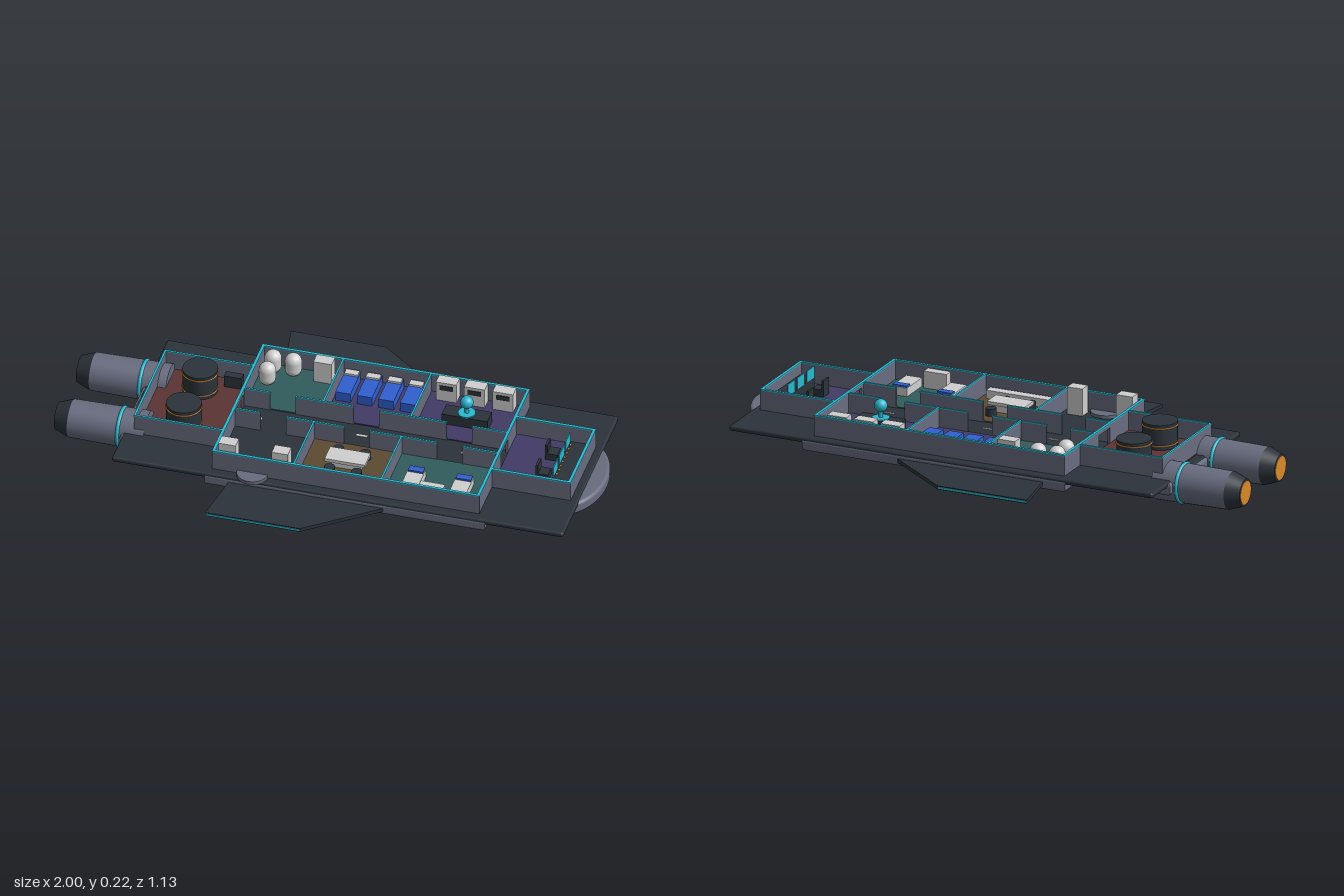
import * as THREE from 'three';
import { RoundedBoxGeometry } from 'three/addons/geometries/RoundedBoxGeometry.js';

const mat = (name, color) => {
  const m = new THREE.MeshStandardMaterial({ color });
  m.name = name;
  return m;
};

export function createModel() {
  const root = new THREE.Group();
  const dark = mat('darkPlating', 0x2b333a), grey = mat('hullGrey', 0x686d80);
  const cyan = mat('cyanTrim', 0x2bb8d0), white = mat('white', 0xd0d0d0);
  const blue = mat('blue', 0x2f5fd0), orange = mat('orange', 0xd98a2b);
  const teal = mat('tealFloor', 0x315c5c), purple = mat('purpleFloor', 0x423a66);
  const brown = mat('brownFloor', 0x5c4a33), maroon = mat('maroonFloor', 0x5c3434);

  const group = (name) => {
    const g = new THREE.Group();
    g.name = name;
    root.add(g);
    return g;
  };
  const add = (parent, name, geo, m, x = 0, y = 0, z = 0) => {
    const mesh = new THREE.Mesh(geo, m);
    mesh.name = name;
    mesh.position.set(x, y, z);
    parent.add(mesh);
    return mesh;
  };
  // box given by its centre in plan and its bottom and top heights
  const box = (parent, name, m, x, z, w, d, y0, y1) =>
    add(parent, name, new THREE.BoxGeometry(w, y1 - y0, d), m, x, (y0 + y1) / 2, z);
  const drum = (parent, name, m, x, z, r, y0, y1, seg = 24) =>
    add(parent, name, new THREE.CylinderGeometry(r, r, y1 - y0, seg), m, x, (y0 + y1) / 2, z);
  const DECK = 0.104, FLOOR = 0.108, TOP = 0.178;

  // lower hull with stepped plan and rounded nose
  const hull = group('hull');
  const b = 0.012;
  const plan = new THREE.Shape();
  plan.moveTo(-0.745 + b, -0.24 + b);
  plan.lineTo(-0.39 + b, -0.24 + b);
  plan.lineTo(-0.39 + b, -0.367 + b);
  plan.lineTo(0.65 - b, -0.367 + b);
  plan.lineTo(0.65 - b, -0.21 + b);
  plan.lineTo(0.855, -0.21 + b);
  plan.absellipse(0.855, 0, 0.145 - b, 0.21 - b, -Math.PI / 2, Math.PI / 2, false);
  plan.lineTo(0.65 - b, 0.21 - b);
  plan.lineTo(0.65 - b, 0.367 - b);
  plan.lineTo(-0.39 + b, 0.367 - b);
  plan.lineTo(-0.39 + b, 0.24 - b);
  plan.lineTo(-0.745 + b, 0.24 - b);
  const hullGeo = new THREE.ExtrudeGeometry(plan, {
    depth: 0.022, bevelThickness: b, bevelSize: b, bevelSegments: 4, curveSegments: 32,
  });
  hullGeo.rotateX(Math.PI / 2);
  add(hull, 'lowerHull', hullGeo, grey, 0, 0.088, 0);
  add(hull, 'deckPlate', new RoundedBoxGeometry(1.675, 0.02, 0.732, 3, 0.008), dark, 0.1025, 0.094, 0);

  // wings with a bright strip on each tip
  for (const s of [-1, 1]) {
    const wing = group(s > 0 ? 'leftWing' : 'rightWing');
    const shape = new THREE.Shape([[-0.295, 0.33], [0.32, 0.33], [0.02, 0.563], [-0.332, 0.563]]
      .map(([x, z]) => new THREE.Vector2(x, s * z)));
    const geo = new THREE.ExtrudeGeometry(shape, { depth: 0.014, bevelEnabled: false });
    geo.rotateX(Math.PI / 2);
    add(wing, 'wingPanel', geo, dark, 0, 0.082, 0);
    box(wing, 'wingTipStrip', cyan, -0.156, s * 0.563, 0.35, 0.004, 0.0715, 0.0785);
  }

  // engines, lying along x with the nozzles at the rear
  for (const s of [-1, 1]) {
    const engine = group(s > 0 ? 'leftEngine' : 'rightEngine');
    engine.position.set(0, 0.078, s * 0.145);
    const lie = (name, rFront, rBack, x0, x1, m) => {
      const geo = new THREE.CylinderGeometry(rFront, rBack, x1 - x0, 32);
      geo.rotateZ(-Math.PI / 2);
      add(engine, name, geo, m, (x0 + x1) / 2);
    };
    lie('engineBody', 0.074, 0.07, -0.945, -0.66, grey);
    lie('nozzle', 0.07, 0.05, -0.998, -0.945, dark);
    lie('exhaustGlow', 0.043, 0.043, -1.0, -0.994, orange);
    const ring = new THREE.TorusGeometry(0.071, 0.007, 10, 36);
    ring.rotateY(Math.PI / 2);
    add(engine, 'engineRing', ring, cyan, -0.758);
  }

  // room floors: x0, x1, z0, z1
  const floors = group('floors');
  [['engineRoomFloor', maroon, -0.7, -0.37, -0.2, 0.2],
    ['storeFloor', teal, -0.37, -0.07, -0.33, -0.063],
    ['bunkFloor', purple, -0.07, 0.255, -0.33, -0.063],
    ['briefingFloor', purple, 0.255, 0.62, -0.33, -0.063],
    ['loungeFloor', brown, -0.07, 0.255, 0.063, 0.33],
    ['clinicFloor', teal, 0.255, 0.62, 0.063, 0.33],
    ['cockpitFloor', purple, 0.62, 0.91, -0.165, 0.165],
  ].forEach(([n, m, x0, x1, z0, z1]) =>
    box(floors, n, m, (x0 + x1) / 2, (z0 + z1) / 2, x1 - x0, z1 - z0, DECK - 0.002, FLOOR));
  for (let i = 0; i < 7; i++) box(floors, 'corridorDash', white, -0.3 + i * 0.13, 0, 0.04, 0.01, DECK - 0.002, DECK + 0.002);

  // walls capped with a bright trim
  const walls = group('walls');
  const wall = (x0, z0, x1, z1, t = 0.01, bottom = DECK - 0.002) => {
    const w = x1 - x0 + t, d = z1 - z0 + t, x = (x0 + x1) / 2, z = (z0 + z1) / 2;
    box(walls, 'wall', grey, x, z, w, d, bottom, TOP);
    box(walls, 'wallTrim', cyan, x, z, w + 0.001, d + 0.001, TOP, TOP + 0.005);
  };
  for (const s of [-1, 1]) {
    const span = (x0, x1, za, zb, t) => wall(x0, Math.min(s * za, s * zb), x1, Math.max(s * za, s * zb), t);
    span(-0.695, -0.37, 0.2, 0.2, 0.007);
    span(-0.367, 0.615, 0.327, 0.327);
    span(0.62, 0.907, 0.162, 0.162);
    span(-0.367, -0.367, 0.05, 0.327);
    span(0.615, 0.615, 0.05, 0.327);
    span(-0.07, -0.07, 0.063, 0.327, 0.006);
    span(0.255, 0.255, 0.063, 0.327, 0.006);
    // corridor walls with a door into each room
    [[-0.367, -0.27], [-0.17, 0.04], [0.14, 0.385], [0.485, 0.615]]
      .forEach(([x0, x1]) => span(x0, x1, 0.063, 0.063, 0.006));
  }
  wall(-0.695, -0.2, -0.695, 0.2, 0.007);
  wall(0.907, -0.162, 0.907, 0.162);
  for (const x of [-0.367, 0.615]) wall(x, -0.05, x, 0.05, 0.01, 0.165);

  // engine room
  const power = group('engineRoom');
  for (const s of [-1, 1]) {
    drum(power, 'reactor', dark, -0.54, s * 0.107, 0.064, DECK, 0.202, 32);
    for (const y of [0.122, 0.188]) {
      const band = new THREE.TorusGeometry(0.064, 0.003, 8, 36);
      band.rotateX(Math.PI / 2);
      add(power, 'reactorBand', band, orange, -0.54, y, s * 0.107);
    }
  }
  box(power, 'controlDesk', dark, -0.43, -0.16, 0.065, 0.03, DECK, 0.155);

  // store room and cargo bay
  const store = group('storeRoom');
  for (const [x, z] of [[-0.32, -0.285], [-0.245, -0.285], [-0.32, -0.21]]) {
    add(store, 'tank', new THREE.CapsuleGeometry(0.031, 0.03, 8, 20), white, x, 0.15, z);
  }
  box(store, 'cabinet', white, -0.13, -0.285, 0.068, 0.046, DECK, 0.195);
  const bay = group('cargoBay');
  box(bay, 'locker', white, -0.322, 0.29, 0.064, 0.046, DECK, 0.207);
  box(bay, 'locker', white, -0.126, 0.29, 0.06, 0.046, DECK, 0.207);
  drum(bay, 'dockingPad', grey, -0.222, 0.33, 0.057, DECK - 0.002, 0.116, 32);

  // bunk room
  const bunks = group('bunkRoom');
  for (let i = 0; i < 4; i++) {
    const x = -0.03 + i * 0.08;
    box(bunks, 'bunk', blue, x, -0.243, 0.056, 0.135, DECK, 0.145);
    box(bunks, 'pillow', white, x, -0.295, 0.05, 0.028, 0.14, 0.153);
  }

  // briefing room with a projector table
  const brief = group('briefingRoom');
  for (const x of [0.325, 0.43, 0.535]) {
    box(brief, 'console', white, x, -0.298, 0.076, 0.044, DECK, 0.187);
    box(brief, 'consoleScreen', dark, x, -0.2755, 0.05, 0.003, 0.155, 0.175);
  }
  box(brief, 'projectorTable', dark, 0.43, -0.175, 0.17, 0.06, DECK, 0.15);
  drum(brief, 'projectorBase', cyan, 0.43, -0.175, 0.032, 0.15, 0.154);
  drum(brief, 'projectorBeam', cyan, 0.43, -0.175, 0.008, 0.154, 0.18, 12);
  add(brief, 'projectedGlobe', new THREE.SphereGeometry(0.024, 24, 16), cyan, 0.43, 0.198, -0.175);

  // lounge
  const lounge = group('lounge');
  box(lounge, 'table', white, 0.09, 0.187, 0.15, 0.075, 0.137, 0.15);
  box(lounge, 'tableBase', white, 0.09, 0.187, 0.11, 0.045, DECK, 0.137);
  for (const x of [0.04, 0.14]) for (const z of [0.13, 0.247]) drum(lounge, 'stool', dark, x, z, 0.02, DECK, 0.135, 16);
  box(lounge, 'bench', white, 0.09, 0.297, 0.28, 0.036, DECK, 0.14);

  // clinic
  const clinic = group('clinic');
  for (const x of [0.347, 0.524]) {
    box(clinic, 'bed', white, x, 0.236, 0.062, 0.125, DECK, 0.14);
    box(clinic, 'bedPillow', blue, x, 0.19, 0.056, 0.028, 0.135, 0.147);
  }
  box(clinic, 'medicalCabinet', white, 0.435, 0.302, 0.09, 0.034, DECK, 0.172);

  // cockpit
  const cockpit = group('cockpit');
  box(cockpit, 'dashboard', dark, 0.86, 0, 0.06, 0.23, DECK, 0.15);
  for (const z of [-0.08, 0, 0.08]) box(cockpit, 'screen', cyan, 0.831, z, 0.004, 0.06, 0.15, 0.193);
  for (let i = 0; i < 8; i++) box(cockpit, 'indicator', orange, 0.84, -0.09 + i * 0.0257, 0.006, 0.007, 0.149, 0.153);
  for (const s of [-1, 1]) {
    box(cockpit, 'seat', dark, 0.782, s * 0.062, 0.045, 0.045, DECK, 0.135);
    box(cockpit, 'seatBack', dark, 0.763, s * 0.062, 0.009, 0.045, 0.13, 0.17);
  }
  return root;
}
